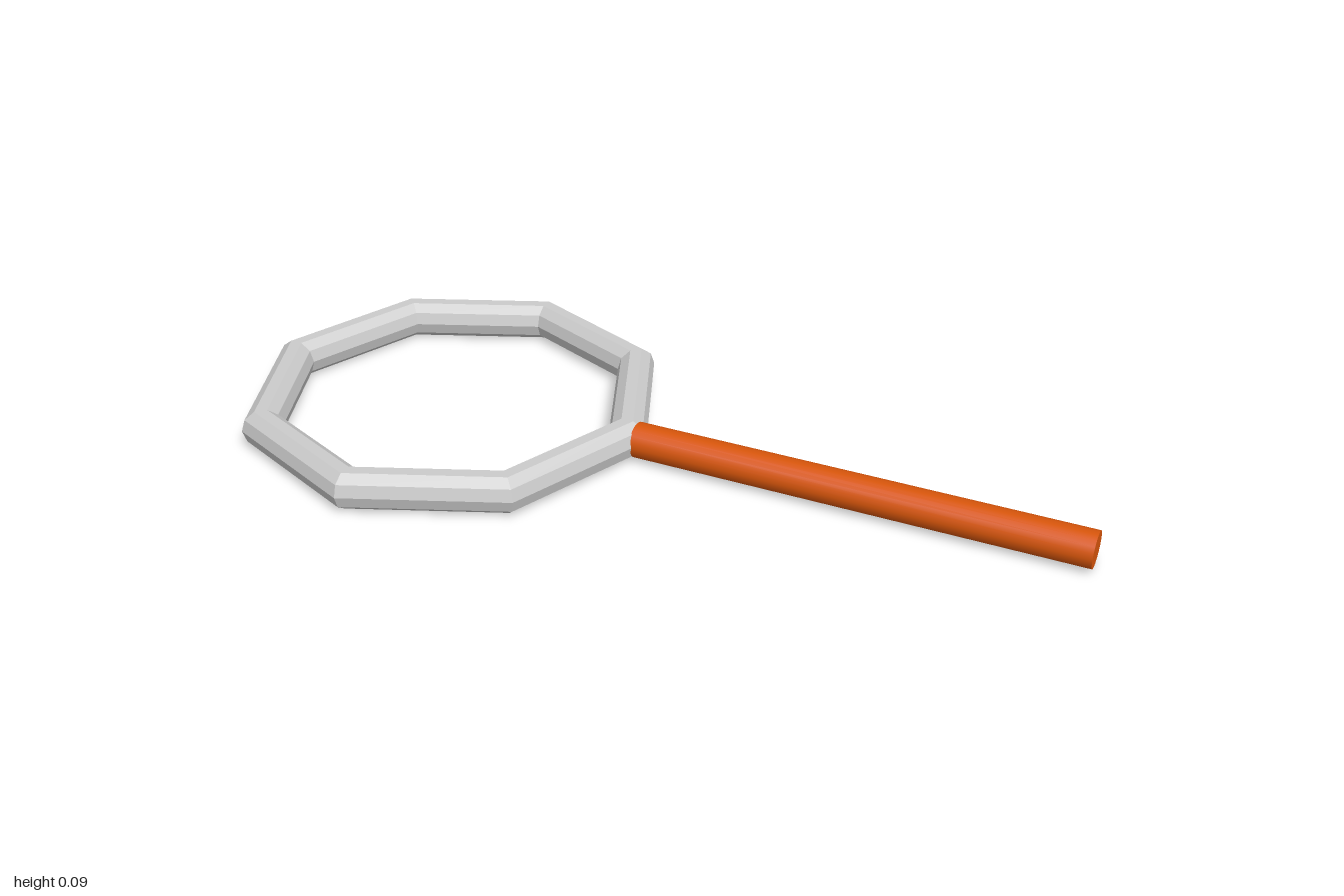
import * as THREE from 'three';

export function createModel() {
  const group = new THREE.Group();
  const centreY = 0.045;

  // Octagonal hoop lying flat, ten-sided tube
  const hoop = new THREE.Mesh(
    new THREE.TorusGeometry(0.45, 0.047, 10, 8).rotateX(-Math.PI / 2),
    new THREE.MeshStandardMaterial({ color: 0xcccccc, flatShading: true })
  );
  hoop.name = 'hoop';
  hoop.position.set(-0.503, centreY, 0);
  group.add(hoop);

  // Straight round handle starting just inside one hoop corner
  const start = -0.03, end = 1;
  const handle = new THREE.Mesh(
    new THREE.CylinderGeometry(0.042, 0.042, end - start, 18)
      .rotateZ(-Math.PI / 2)
      .scale(1, 0.96, 1),
    new THREE.MeshStandardMaterial({ color: 0xd9560b })
  );
  handle.name = 'handle';
  handle.position.set((start + end) / 2, centreY, 0);
  group.add(handle);

  return group;
}
